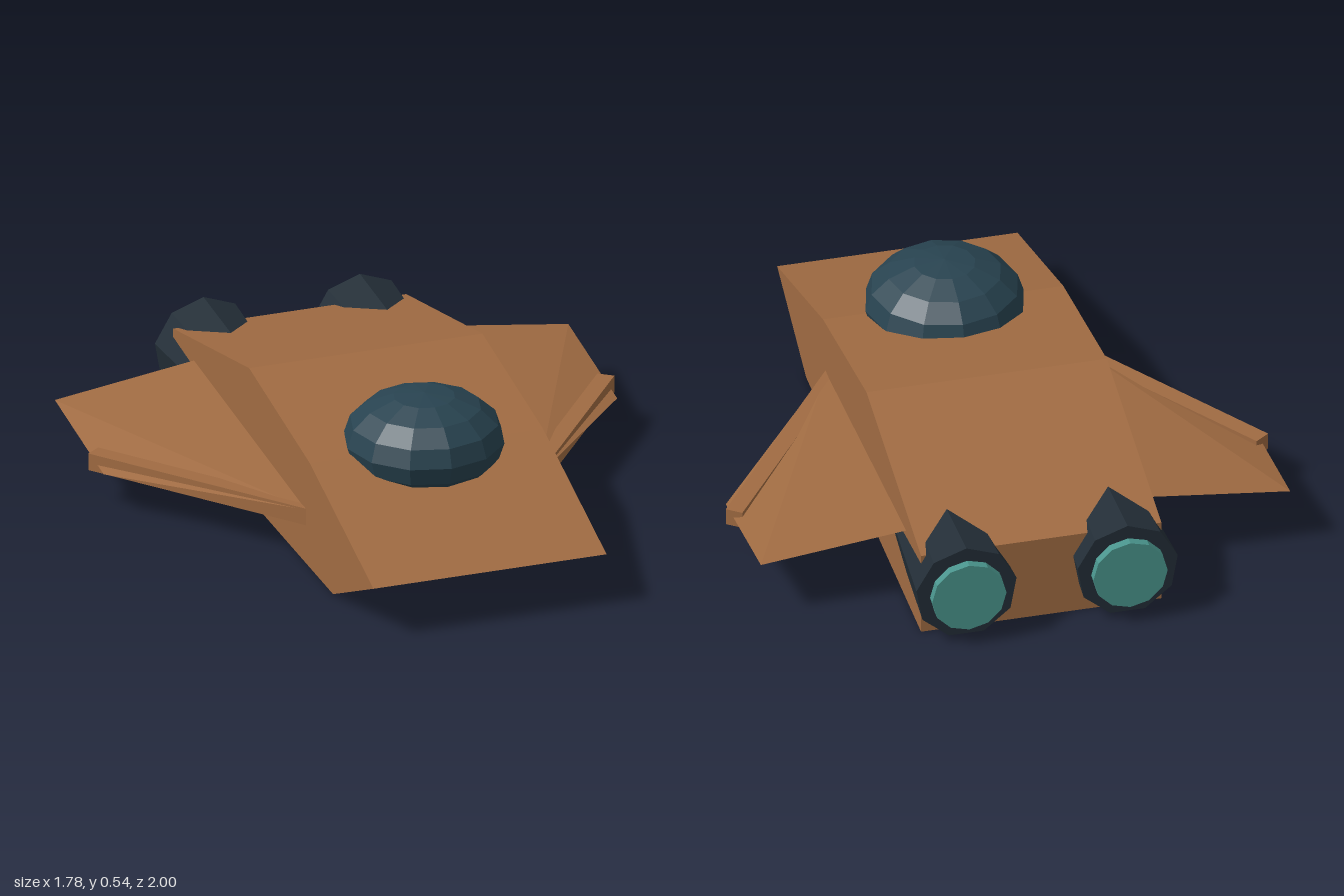
import * as THREE from 'three';

const mat = (color, side = THREE.FrontSide) =>
  new THREE.MeshStandardMaterial({ color, flatShading: true, side });

export function createModel() {
  const group = new THREE.Group();
  const hullMat = mat(0xa06b42);
  const wingMat = mat(0xa06b42, THREE.DoubleSide);
  const glassMat = mat(0x284350);
  const engineMat = mat(0x232e37);
  const glowMat = mat(0x4a958d);

  const add = (name, geometry, material, parent = group) => {
    const mesh = new THREE.Mesh(geometry, material);
    mesh.name = name;
    parent.add(mesh);
    return mesh;
  };

  // Hull: side profile (z, y) extruded across the width
  const profile = [[1, 0.18], [0.4, 0.365], [-0.17, 0.455], [-0.885, 0.29], [-0.885, 0], [0.62, 0]];
  const shape = new THREE.Shape(profile.map(([z, y]) => new THREE.Vector2(z, y)));
  const width = 0.79;
  const hull = new THREE.ExtrudeGeometry(shape, { depth: width, bevelEnabled: false });
  hull.translate(0, 0, -width / 2).rotateY(-Math.PI / 2);
  add('hull', hull, hullMat);

  // Cockpit dome: flattened low-poly sphere
  const dome = add('cockpitDome', new THREE.SphereGeometry(0.26, 12, 8), glassMat);
  dome.scale.y = 0.61;
  dome.position.set(0, 0.386, 0.38);

  for (const s of [1, -1]) {
    const side = s > 0 ? 'left' : 'right';

    // Wing: thin sheet with a slight twist, folded along its diagonal
    const wing = new THREE.BufferGeometry();
    wing.setAttribute('position', new THREE.Float32BufferAttribute([
      s * 0.39, 0.262, -0.69, // root, rear
      s * 0.87, 0.2, -0.68, // tip, rear
      s * 0.87, 0.135, -0.22, // tip, front
      s * 0.39, 0.187, 0.37, // root, front
    ], 3));
    wing.setIndex(s > 0 ? [0, 3, 1, 1, 3, 2] : [0, 1, 3, 1, 2, 3]);
    wing.computeVertexNormals();
    add(side + 'Wing', wing, wingMat);

    // Leading edge beam, its inner end buried in the hull
    const inner = new THREE.Vector3(s * 0.34, 0.163, 0.393);
    const outer = new THREE.Vector3(s * 0.868, 0.146, -0.322);
    const beam = add(side + 'LeadingEdge',
      new THREE.BoxGeometry(0.057, 0.058, inner.distanceTo(outer)), hullMat);
    beam.position.lerpVectors(inner, outer, 0.5);
    beam.lookAt(outer);

    // Engine: nine-sided tapered pod with one corner up, and a glowing disc behind
    const engine = new THREE.Group();
    engine.name = side + 'Engine';
    engine.position.set(s * 0.265, 0.181, 0);
    group.add(engine);
    const length = 0.72;
    const pod = new THREE.CylinderGeometry(0.122, 0.167, length, 9);
    pod.rotateY(Math.PI).rotateX(Math.PI / 2).translate(0, 0, -0.962 + length / 2);
    add('enginePod', pod, engineMat, engine);
    const disc = new THREE.CylinderGeometry(0.122, 0.122, 0.03, 12);
    disc.rotateX(Math.PI / 2).translate(0, 0.003, -0.985);
    add('engineGlow', disc, glowMat, engine);
  }

  return group;
}
